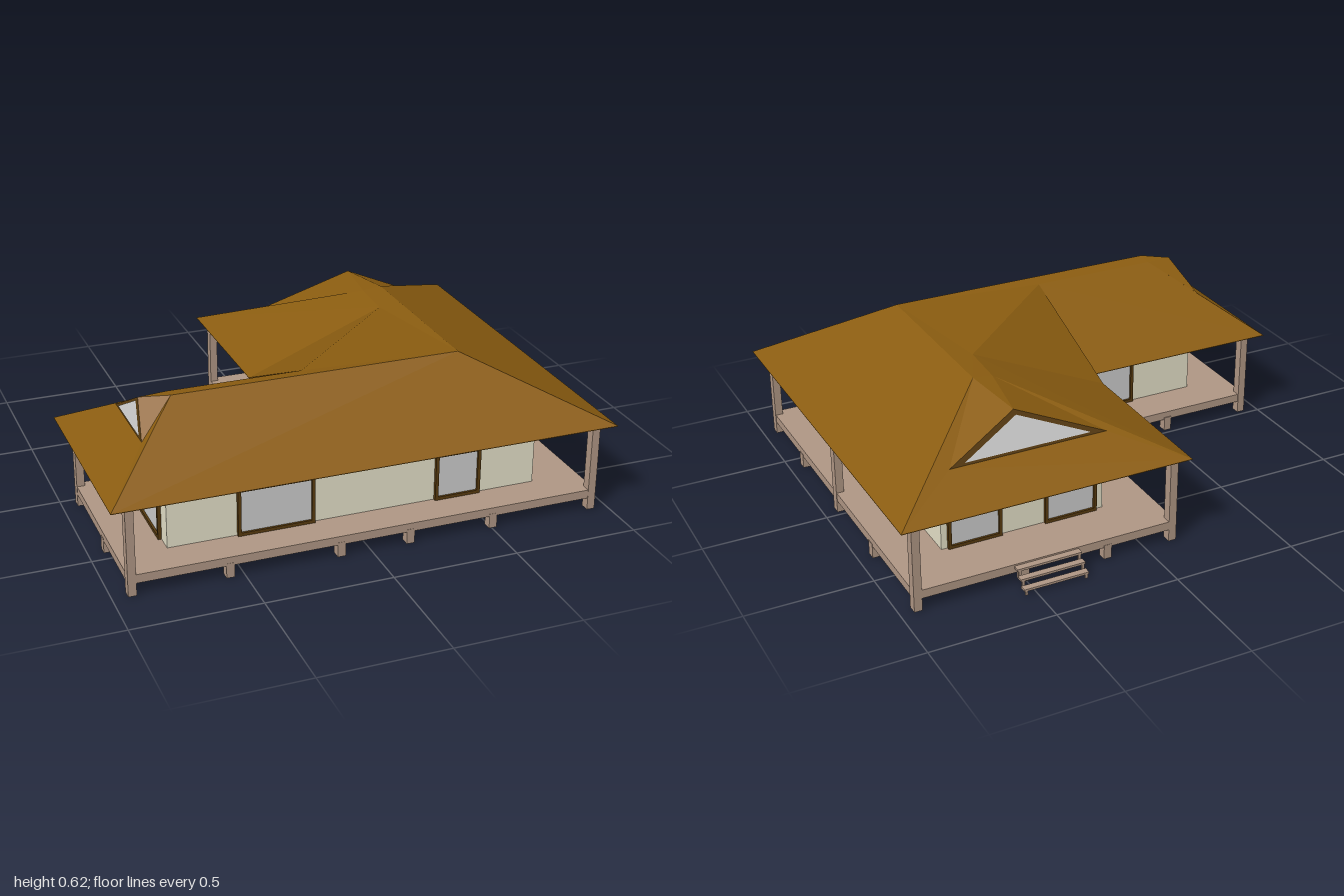
import * as THREE from 'three';

const mat = (color, flat = false) =>
  new THREE.MeshStandardMaterial({ color, flatShading: flat, side: THREE.DoubleSide });

export function createModel() {
  const house = new THREE.Group();
  const timber = mat(0xaf9684), wallMat = mat(0xe4e0c8), ledgeMat = mat(0x7d6c55);
  const frameMat = mat(0x573a0f), glass = mat(0xcccccc), roofMat = mat(0x8a5c10, true);

  const add = (name, geo, material, parent = house) => {
    const m = new THREE.Mesh(geo, material);
    m.name = name;
    parent.add(m);
    return m;
  };
  const box = (name, x0, x1, y0, y1, z0, z1, material, parent) =>
    add(name, new THREE.BoxGeometry(x1 - x0, y1 - y0, z1 - z0), material, parent)
      .position.set((x0 + x1) / 2, (y0 + y1) / 2, (z0 + z1) / 2);

  // L-shaped slab; (nx, nz) is the inner corner, d grows the outline
  const slab = (name, [x0, x1, z0, z1, nx, nz], y0, y1, material, d = 0) => {
    const pts = [[x0 - d, z1 + d], [x1 + d, z1 + d], [x1 + d, z0 - d],
      [nx - d, z0 - d], [nx - d, nz - d], [x0 - d, nz - d]];
    const shape = new THREE.Shape(pts.map(([x, z]) => new THREE.Vector2(x, -z)));
    const geo = new THREE.ExtrudeGeometry(shape, { depth: y1 - y0, bevelEnabled: false });
    geo.rotateX(-Math.PI / 2);
    geo.translate(0, y0, 0);
    return add(name, geo, material);
  };
  const wallPlan = [-0.75, 0.745, -0.54, 0.645, 0.07, 0.19];
  slab('deck', [-0.94, 0.945, -0.755, 0.79, -0.135, 0.025], 0.05, 0.085, timber);
  slab('walls', wallPlan, 0.085, 0.365, wallMat);
  slab('wallLedge', wallPlan, 0.285, 0.305, ledgeMat, 0.033);
  slab('soffit', [-1, 1, -0.8, 0.83, -0.17, -0.01], 0.363, 0.365, roofMat);

  // Veranda posts and short foundation stubs
  const post = (name, x, z, h) =>
    box(name, x - 0.016, x + 0.016, 0, h, z - 0.019, z + 0.019, timber);
  [[-0.925, 0.772], [0.931, 0.772], [0.931, 0.04], [0.931, -0.737],
    [-0.12, -0.737], [-0.12, 0.04], [-0.925, 0.04]]
    .forEach(([x, z]) => post('post', x, z, 0.37));
  [[-0.555, 0.772], [-0.12, 0.772], [0.16, 0.772], [0.505, 0.772], [-0.555, 0.04],
    [0.16, -0.737], [0.505, -0.737], [0.931, 0.435], [0.931, -0.335],
    [-0.925, 0.435], [-0.12, -0.335]]
    .forEach(([x, z]) => post('stub', x, z, 0.06));

  // Glazed doors: a ring frame with a pane; angle turns it to face outward
  const glazing = (x, z, width, angle) => {
    const g = new THREE.Group();
    g.name = 'glazedDoor';
    const w = width / 2, h = 0.195, b = 0.013;
    const rect = (S, a, y0, y1) => new S([[-a, y0], [a, y0], [a, y1], [-a, y1]]
      .map((p) => new THREE.Vector2(...p)));
    const ring = rect(THREE.Shape, w, 0, h);
    ring.holes.push(rect(THREE.Path, w - b, b, h - b));
    add('doorFrame', new THREE.ExtrudeGeometry(ring, { depth: 0.014, bevelEnabled: false }), frameMat, g);
    box('doorPane', b - w, w - b, b, h - b, 0, 0.005, glass, g);
    g.position.set(x, 0.085, z);
    g.rotation.y = angle;
    house.add(g);
  };
  const q = Math.PI / 2;
  glazing(-0.327, 0.645, 0.305, 0);
  glazing(0.415, 0.645, 0.19, 0);
  glazing(0.745, 0.402, 0.325, q);
  glazing(0.745, -0.178, 0.235, q);
  glazing(0.61, -0.54, 0.22, 2 * q);
  glazing(0.21, -0.54, 0.22, 2 * q);
  glazing(-0.32, 0.19, 0.3, 2 * q);
  glazing(0.07, -0.19, 0.21, -q);
  glazing(-0.75, 0.45, 0.25, -q);
  box('transomPane', 0.32, 0.51, 0.305, 0.363, 0.64, 0.648, glass);

  // Steps at the back: thin treads on small legs
  for (let i = 0; i < 3; i++) {
    const z = -0.757 - i * 0.028, y = 0.08 - i * 0.027;
    box('tread', 0.285, 0.55, y - 0.009, y, z - 0.028, z, timber);
    for (const x of [0.29, 0.535])
      box('stepLeg', x, x + 0.01, Math.max(0, y - 0.04), y - 0.009, z - 0.027, z - 0.019, timber);
  }

  // Roof corners: eaves, ridge, inner-corner plateau and the two gablets
  const e = 0.365, t = 0.615, s = 0.606;
  const P = {
    A: [-1, e, -0.01], B: [-0.17, e, -0.01], C: [-0.17, e, -0.8],
    D: [1, e, -0.8], E: [1, e, 0.83], F: [-1, e, 0.83],
    U: [-0.67, t, 0.48], V: [0.48, t, 0.48], W: [0.48, t, -0.27],
    T: [-0.67, s, 0.42], P: [-0.14, s, 0.42], Q: [0.39, s, -0.07],
    S: [0.4, s, -0.27], K: [-0.17, e, -0.1],
    a: [-0.815, 0.5, 0.24], b: [-0.815, 0.5, 0.59], c: [-0.78, 0.604, 0.43],
    h: [0.09, 0.455, -0.605], i: [0.73, 0.455, -0.605], j: [0.44, 0.597, -0.535],
  };
  // Builds faces from point lists, turning each one to look upward
  const faces = (name, polys, material) => {
    const pos = [];
    for (const poly of polys) {
      for (let k = 1; k < poly.length - 1; k++) {
        const [o, m, n] = [poly[0], poly[k], poly[k + 1]].map((p) => new THREE.Vector3(...p));
        const up = m.clone().sub(o).cross(n.clone().sub(o)).y >= 0;
        for (const v of up ? [o, m, n] : [o, n, m]) pos.push(v.x, v.y, v.z);
      }
    }
    const geo = new THREE.BufferGeometry();
    geo.setAttribute('position', new THREE.Float32BufferAttribute(pos, 3));
    geo.computeVertexNormals();
    return add(name, geo, material);
  };
  const named = (words) => words.split(' ').map((w) => [...w].map((k) => P[k]));
  faces('roof', named('FEVU EDWV FAab FbU bcU AaT acT cUT ABPT BKP KQP CSQK ' +
    'TPVU PQV QSWV CDih DWi iWj jWS hjS ChS'), roofMat);

  // Gablet windows: dark surround with an inset pane just outside it
  const gablet = (tri, out) => {
    faces('gabletFrame', [tri], frameMat);
    const mid = [0, 1, 2].map((k) => (tri[0][k] + tri[1][k] + tri[2][k]) / 3);
    const pane = tri.map((p) => p.map((v, k) => mid[k] + (v - mid[k]) * 0.8 + out[k]));
    faces('gabletPane', [pane], glass);
  };
  gablet([P.a, P.b, P.c], [-0.003, 0.001, 0]);
  gablet([P.h, P.i, P.j], [0, 0.001, -0.003]);

  return house;
}
